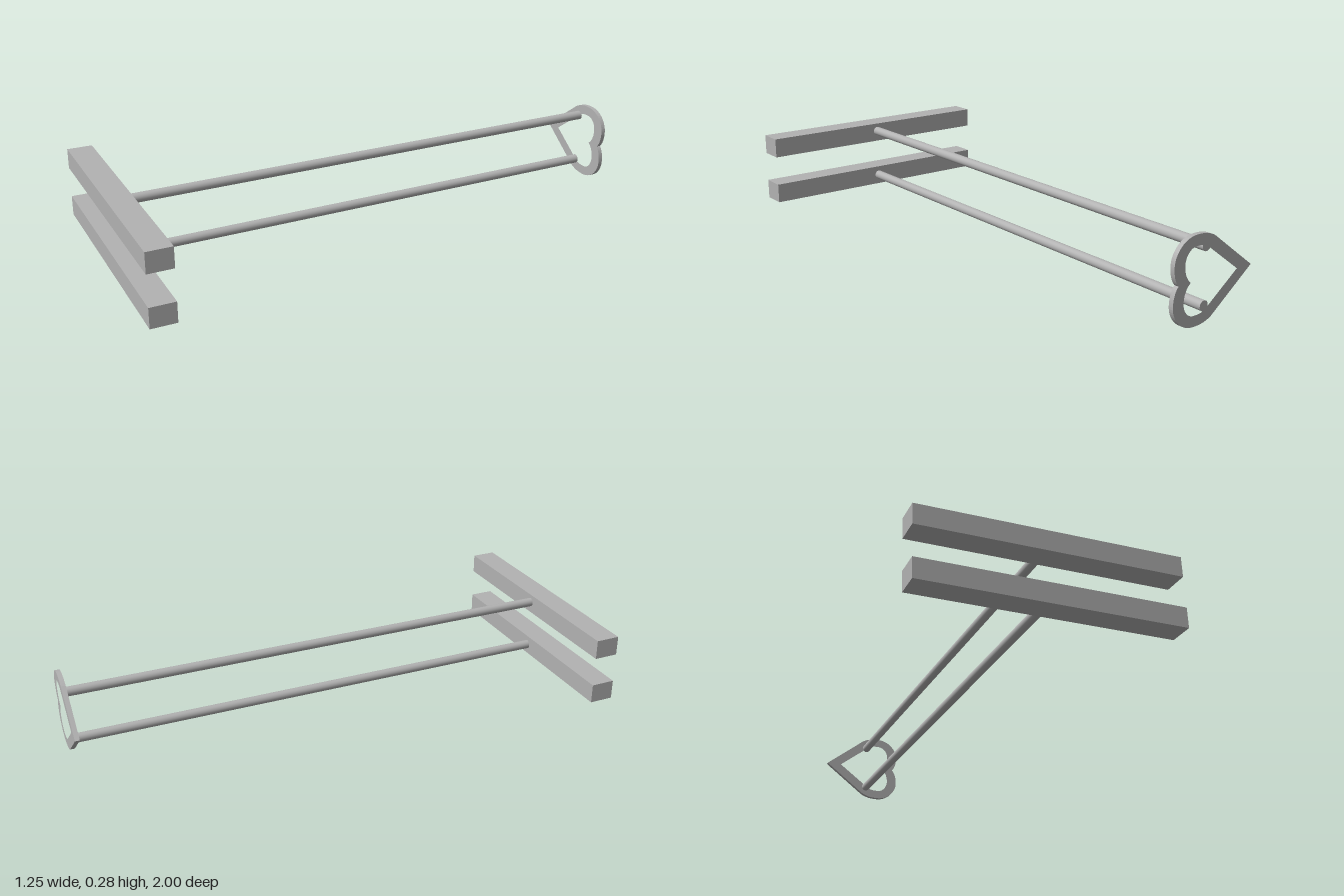
import * as THREE from 'three';

const grey = new THREE.MeshStandardMaterial({ color: 0xb2b2b2 });
grey.name = 'plain grey';

// Traces a heart lying on its side: tip at -x, lobes at +x, mirrored in y
function traceHeart(path, tip, shoulder, top, right, cleft) {
  const half = [
    [shoulder[0] + (top[0] - shoulder[0]) * 0.35, shoulder[1] + (top[1] - shoulder[1]) * 0.85,
      top[0] - 0.025, top[1], top[0], top[1]],
    [top[0] + (right[0] - top[0]) * 0.6, top[1], right[0], right[1] + (top[1] - right[1]) * 0.5, right[0], right[1]],
    [right[0], right[1] * 0.55, cleft + (right[0] - cleft) * 0.6, right[1] * 0.2, cleft, 0],
  ];
  path.moveTo(tip, 0);
  path.lineTo(...shoulder);
  half.forEach((c) => path.bezierCurveTo(...c));
  // Lower half, walked back from the cleft to the tip
  path.bezierCurveTo(half[2][2], -half[2][3], half[2][0], -half[2][1], right[0], -right[1]);
  path.bezierCurveTo(half[1][2], -half[1][3], half[1][0], -half[1][1], top[0], -top[1]);
  path.bezierCurveTo(half[0][2], -half[0][3], half[0][0], -half[0][1], shoulder[0], -shoulder[1]);
  path.lineTo(tip, 0);
  return path;
}

function add(parent, name, geometry, x, y, z) {
  const mesh = new THREE.Mesh(geometry, grey);
  mesh.name = name;
  mesh.position.set(x, y, z);
  parent.add(mesh);
  return mesh;
}

// Round rod between two points
function addRod(parent, name, a, b, radius) {
  const dir = b.clone().sub(a);
  const mid = a.clone().add(b).multiplyScalar(0.5);
  const rod = add(parent, name, new THREE.CylinderGeometry(radius, radius, dir.length(), 28), mid.x, mid.y, mid.z);
  rod.quaternion.setFromUnitVectors(new THREE.Vector3(0, 1, 0), dir.normalize());
}

export function createModel() {
  const model = new THREE.Group();
  model.name = 'brandingIron';

  // Everything is built along local -z, then turned about y
  const iron = new THREE.Group();
  iron.name = 'iron';
  iron.position.set(-0.198, 0, 0.79);
  iron.rotation.y = -THREE.MathUtils.degToRad(21.8);
  model.add(iron);

  // Two grip bars, each with a rod running to the heart
  [
    ['lower', 0.036, 0.037, 0.046],
    ['upper', 0.216, 0.221, 0.228],
  ].forEach(([side, barY, startY, endY]) => {
    add(iron, side + 'GripBar', new THREE.BoxGeometry(0.898, 0.071, 0.088), 0, barY, 0);
    addRod(iron, side + 'Rod', new THREE.Vector3(0, startY, -0.03), new THREE.Vector3(0, endY, -1.846), 0.0165);
  });

  // Heart-shaped ring at the far end
  const heart = traceHeart(new THREE.Shape(), 0, [0.16, 0.122], [0.23, 0.138], [0.317, 0.058], 0.298);
  heart.holes.push(traceHeart(new THREE.Path(), 0.06, [0.188, 0.096], [0.232, 0.104], [0.275, 0.056], 0.25));
  const ring = new THREE.ExtrudeGeometry(heart, { depth: 0.016, bevelEnabled: false, curveSegments: 14 });
  add(iron, 'heartRing', ring, -0.1765, 0.138, -1.86);

  return model;
}
